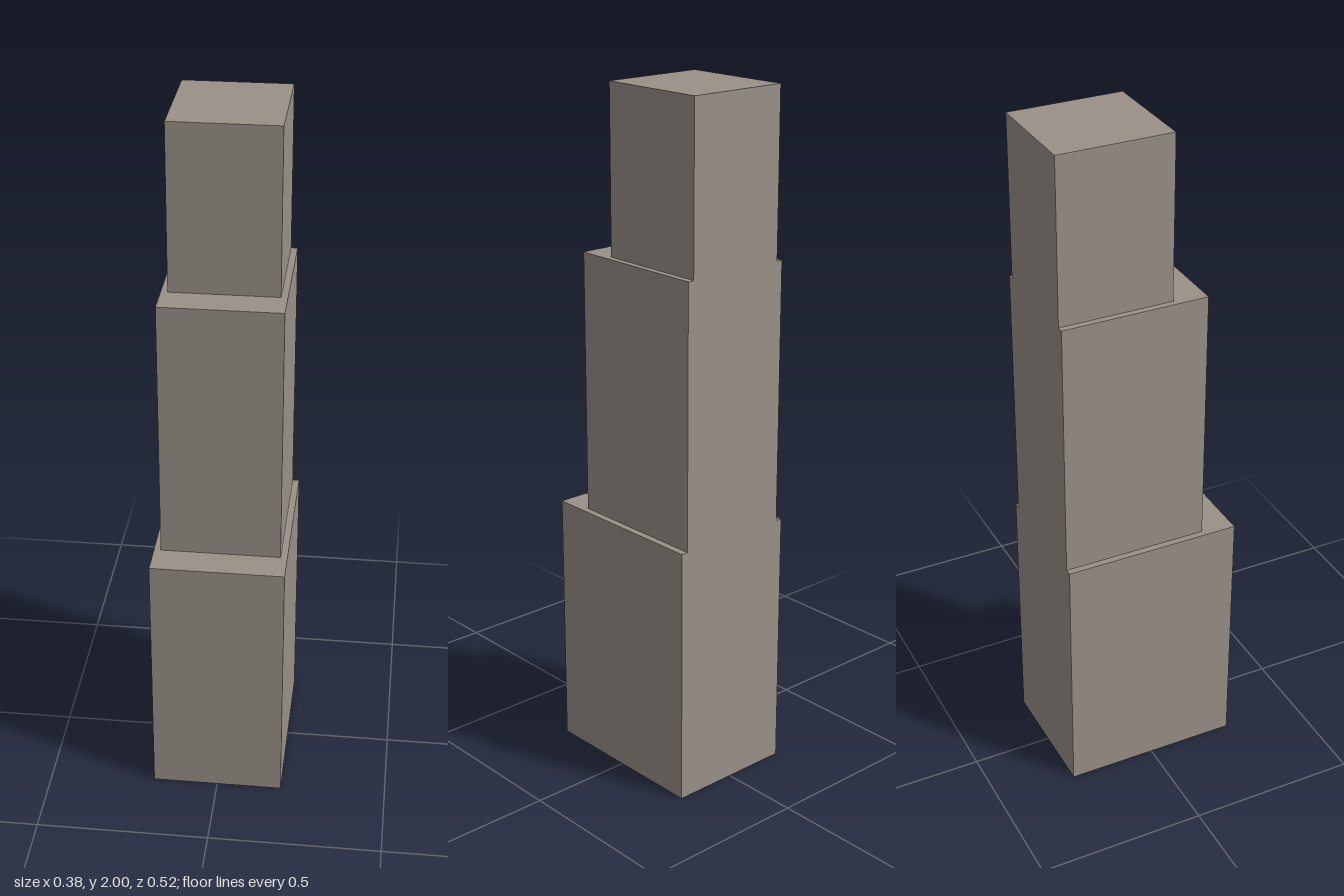
import * as THREE from 'three';

export function createModel() {
  const group = new THREE.Group();
  group.name = 'steppedTower';
  const material = new THREE.MeshStandardMaterial({ color: 0x9a9188 });
  const back = -0.262;

  // Stacked tiers, flush at the back and stepping in at the front and sides
  const tiers = [
    { name: 'lowerTier', width: 0.381, front: 0.262, bottom: 0, top: 0.762 },
    { name: 'middleTier', width: 0.342, front: 0.166, bottom: 0.762, top: 1.524 },
    { name: 'upperTier', width: 0.305, front: 0.07, bottom: 1.524, top: 2 },
  ];

  for (const { name, width, front, bottom, top } of tiers) {
    const tier = new THREE.Mesh(new THREE.BoxGeometry(width, top - bottom, front - back), material);
    tier.name = name;
    tier.position.set(0, (bottom + top) / 2, (front + back) / 2);
    group.add(tier);
  }

  return group;
}
